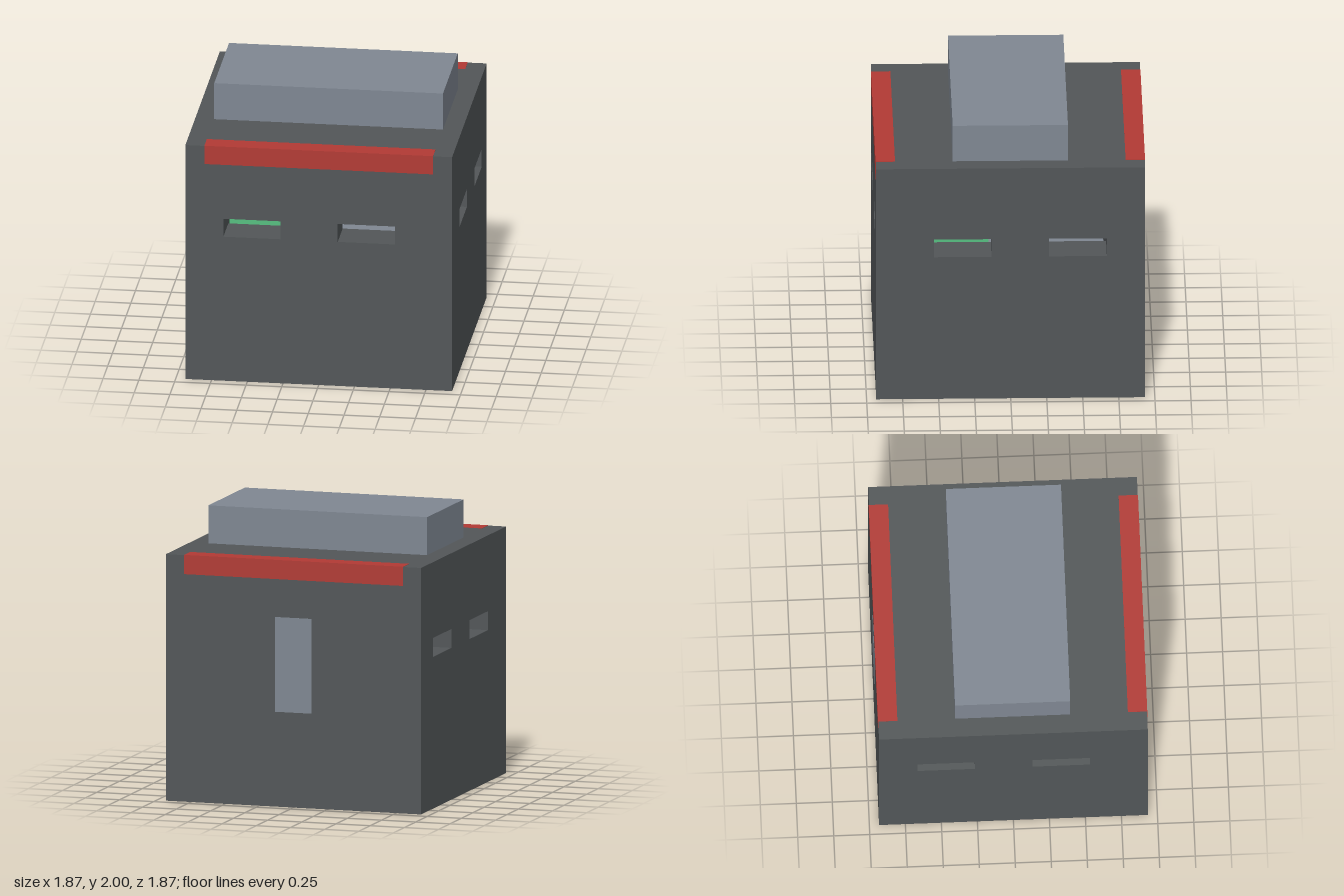
import * as THREE from 'three';

const mat = (name, color) => new THREE.MeshStandardMaterial({ name, color });

export function createModel() {
  const concrete = mat('dark concrete', 0x525658);
  const slate = mat('slate grey', 0x7f8792);
  const red = mat('red', 0xb23a34);
  const green = mat('green', 0x56be80);

  const model = new THREE.Group();
  model.name = 'bunker';

  const HALF = 0.933, INNER = 0.667, HEIGHT = 1.733, THICK = HALF - INNER;

  // Box given by its minimum and maximum corners
  function box(name, material, [x0, y0, z0], [x1, y1, z1]) {
    const mesh = new THREE.Mesh(new THREE.BoxGeometry(x1 - x0, y1 - y0, z1 - z0), material);
    mesh.position.set((x0 + x1) / 2, (y0 + y1) / 2, (z0 + z1) / 2);
    mesh.name = name;
    model.add(mesh);
    return mesh;
  }

  function rectangle(path, x0, y0, x1, y1) {
    path.moveTo(x0, y0);
    path.lineTo(x1, y0);
    path.lineTo(x1, y1);
    path.lineTo(x0, y1);
    path.closePath();
    return path;
  }

  // Walls pierced by firing slots; each slot is given by its left edge as seen from outside
  const walls = [
    { name: 'frontWall', turn: 0, slots: [-0.667, 0.133] },
    { name: 'rightWall', turn: Math.PI / 2, slots: [-0.533, 0.267] },
    { name: 'backWall', turn: Math.PI, slots: [] },
    { name: 'leftWall', turn: -Math.PI / 2, slots: [-0.667, 0.133] },
  ];
  for (const { name, turn, slots } of walls) {
    const shape = rectangle(new THREE.Shape(), -HALF, 0, HALF, HEIGHT);
    for (const u of slots) shape.holes.push(rectangle(new THREE.Path(), u, 1.067, u + 0.4, 1.2));
    const geometry = new THREE.ExtrudeGeometry(shape, { depth: THICK, bevelEnabled: false });
    geometry.translate(0, 0, INNER);
    const wall = new THREE.Mesh(geometry, concrete);
    wall.rotation.y = turn;
    wall.name = name;
    model.add(wall);
  }

  // Roof between the walls and the raised block on top
  box('roof', concrete, [-INNER, 1.467, -INNER], [INNER, HEIGHT, INNER]);
  box('roofBlock', slate, [-0.8, HEIGHT, -0.4], [0.8, 2, 0.4]);

  // Raised floor inside, with a crate standing in one corner
  box('floor', slate, [-INNER, 0.533, -INNER], [INNER, 0.667, INNER]);
  box('crate', green, [-INNER, 0.667, 0.133], [-0.2, 1.333, 0.6]);

  // Red strips wrapping the front and back roof edges
  const skin = 0.002;
  for (const side of [1, -1]) {
    const strip = box(side > 0 ? 'frontStrip' : 'backStrip', red,
      [-0.8, 1.6, 0.8], [0.8, HEIGHT + skin, HALF + skin]);
    strip.position.z *= side;
  }

  // Flush door panel at the back
  box('backDoor', slate, [-0.133, 0.667, -HALF - skin], [0.133, 1.333, -HALF + skin]);

  return model;
}
